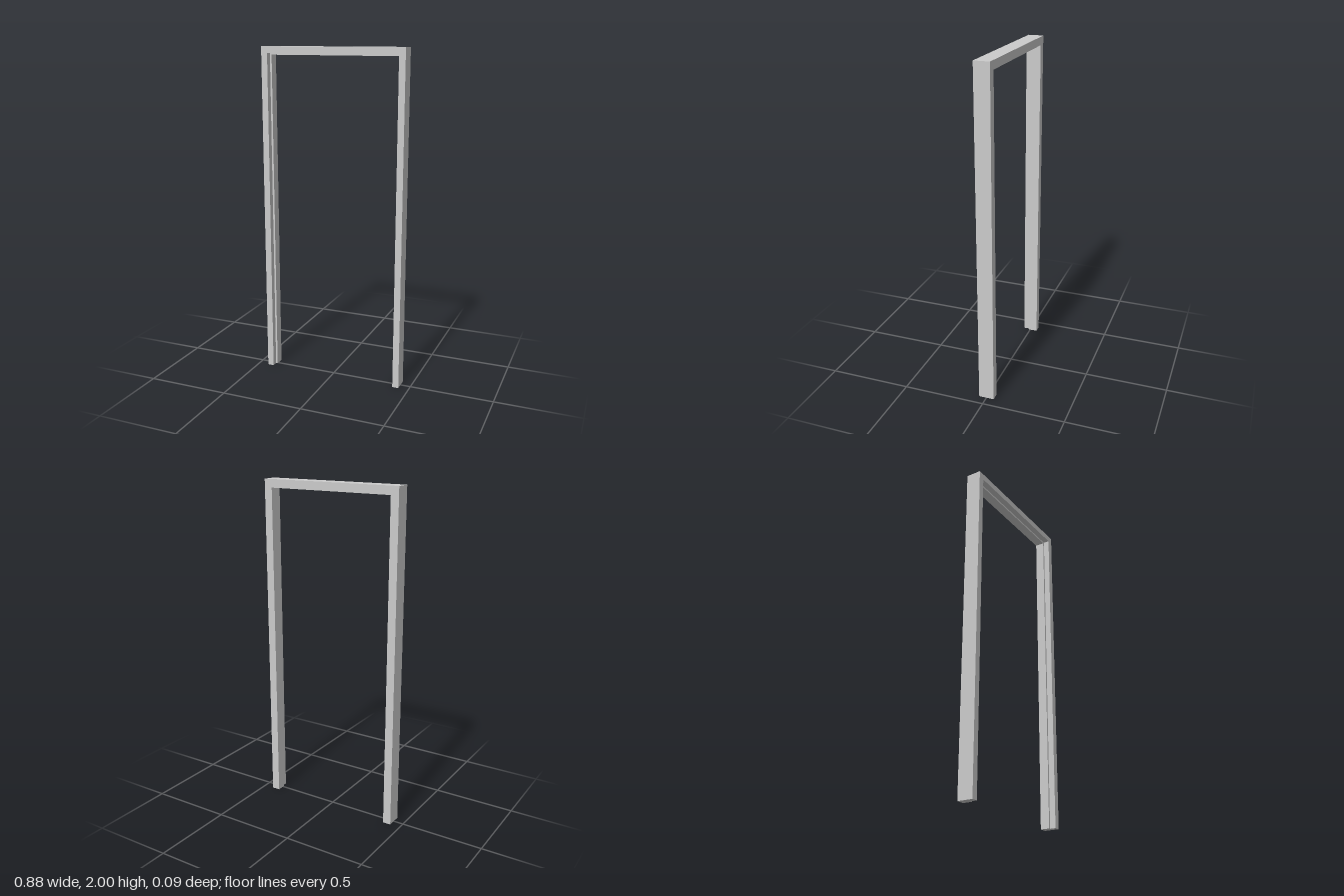
import * as THREE from 'three';

const HALF_WIDTH = 0.438, HEIGHT = 2;
const FRONT = 0.046, BACK = -0.046, STOP = 0.01;
const FACE = 0.038, FULL = 0.049;

// Rebated L-section as [inset from the outer edge, z]; index 4 is the inner corner
const PROFILE = [
  [0, FRONT], [0, BACK], [FULL, BACK], [FULL, STOP], [FACE, STOP], [FACE, FRONT],
];

// Mitred stations: left foot, left top, right top, right foot
const STATIONS = [[1, false], [1, true], [-1, true], [-1, false]];

function frameGeometry() {
  const positions = [];
  const rings = STATIONS.map(([side, top]) => PROFILE.map(([inset, z]) =>
    [side * (HALF_WIDTH - inset), top ? HEIGHT - inset : 0, z]));
  const tri = (a, b, c) => positions.push(...a, ...b, ...c);
  const n = PROFILE.length;

  // Jambs and head
  for (let k = 0; k < 3; k++) {
    const r = rings[k], s = rings[k + 1];
    for (let i = 0; i < n; i++) {
      const j = (i + 1) % n;
      tri(r[i], r[j], s[i]);
      tri(r[j], s[j], s[i]);
    }
  }

  // Feet, fanned from the inner corner of the section
  const [first, last] = [rings[0], rings[3]];
  for (let m = 1; m < n - 1; m++) {
    const i = (4 + m) % n, j = (5 + m) % n;
    tri(first[4], first[j], first[i]);
    tri(last[4], last[i], last[j]);
  }

  const geometry = new THREE.BufferGeometry();
  geometry.setAttribute('position', new THREE.Float32BufferAttribute(positions, 3));
  geometry.computeVertexNormals();
  return geometry;
}

export function createModel() {
  const group = new THREE.Group();
  group.name = 'doorway';
  const frame = new THREE.Mesh(
    frameGeometry(),
    new THREE.MeshStandardMaterial({ color: 0xcccccc, flatShading: true }),
  );
  frame.name = 'doorFrame';
  group.add(frame);
  return group;
}
